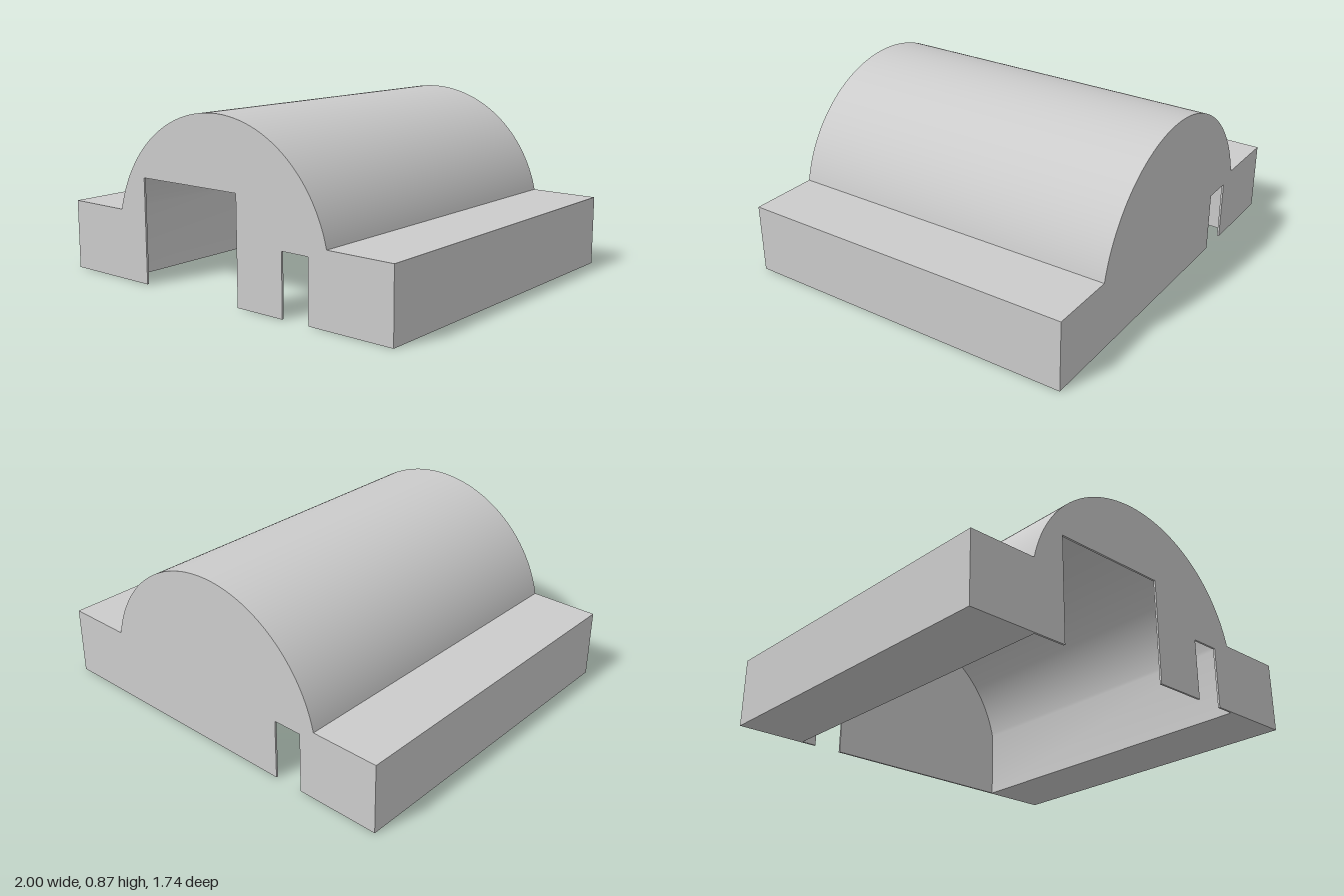
import * as THREE from 'three';
import { toCreasedNormals } from 'three/addons/utils/BufferGeometryUtils.js';

const HALF_W = 1, HALF_D = 0.87, LEDGE = 0.35;
const ARC_Y = 0.201, ARC_R = 0.669;      // centre height and radius of the barrel roof
const SHELL = 0.005, WALL = 0.01;        // roof and end wall thickness

// Angle at which an arc of radius r meets the ledge height
const ledgeAngle = (r) => Math.asin((LEDGE - ARC_Y) / r);

// Outer silhouette from the lower +x corner over the roof to the lower -x corner
function silhouette() {
  const a = ledgeAngle(ARC_R);
  const s = new THREE.Shape();
  s.moveTo(HALF_W, 0);
  s.lineTo(HALF_W, LEDGE);
  s.lineTo(ARC_R * Math.cos(a), LEDGE);
  s.absarc(0, ARC_Y, ARC_R, a, Math.PI - a, false);
  s.lineTo(-HALF_W, LEDGE);
  s.lineTo(-HALF_W, 0);
  return s;
}

// Cross-section of the side blocks joined by the thin barrel roof
function bodyShape() {
  const r = ARC_R - SHELL, a = ledgeAngle(r), x = r * Math.cos(a);
  const s = silhouette();
  s.lineTo(-x, 0);
  s.lineTo(-x, LEDGE);
  s.absarc(0, ARC_Y, r, Math.PI - a, a, true);
  s.lineTo(x, 0);
  return s;
}

// End wall with door notches [x0, x1, height], listed from -x to +x
function wallShape(doors) {
  const s = silhouette();
  for (const [x0, x1, h] of doors) {
    s.lineTo(x0, 0);
    s.lineTo(x0, h);
    s.lineTo(x1, h);
    s.lineTo(x1, 0);
  }
  return s;
}

function extrude(shape, depth, z) {
  const g = new THREE.ExtrudeGeometry(shape, { depth, bevelEnabled: false, curveSegments: 48 });
  g.translate(0, 0, z);
  return g;
}

// Keep only the swept sides, since the end walls close the body
function dropCaps(geometry) {
  const start = geometry.groups[1].start;
  const g = new THREE.BufferGeometry();
  const positions = geometry.attributes.position.array.slice(start * 3);
  g.setAttribute('position', new THREE.BufferAttribute(positions, 3));
  g.computeVertexNormals();
  return g;
}

export function createModel() {
  const group = new THREE.Group();
  const material = new THREE.MeshStandardMaterial({ color: 0xcccccc, side: THREE.DoubleSide });
  const add = (name, geometry) => {
    const mesh = new THREE.Mesh(toCreasedNormals(geometry, Math.PI / 6), material);
    mesh.name = name;
    group.add(mesh);
  };

  const inner = HALF_D - WALL;
  add('roofAndSideBlocks', dropCaps(extrude(bodyShape(), 2 * inner, -inner)));

  // Large and small doorway in front, one small doorway at the back
  add('frontWall', extrude(wallShape([[-0.48, 0.13, 0.525], [0.4, 0.55, 0.305]]), WALL, inner));
  add('backWall', extrude(wallShape([[-0.57, -0.42, 0.305]]), WALL, -HALF_D));
  return group;
}
